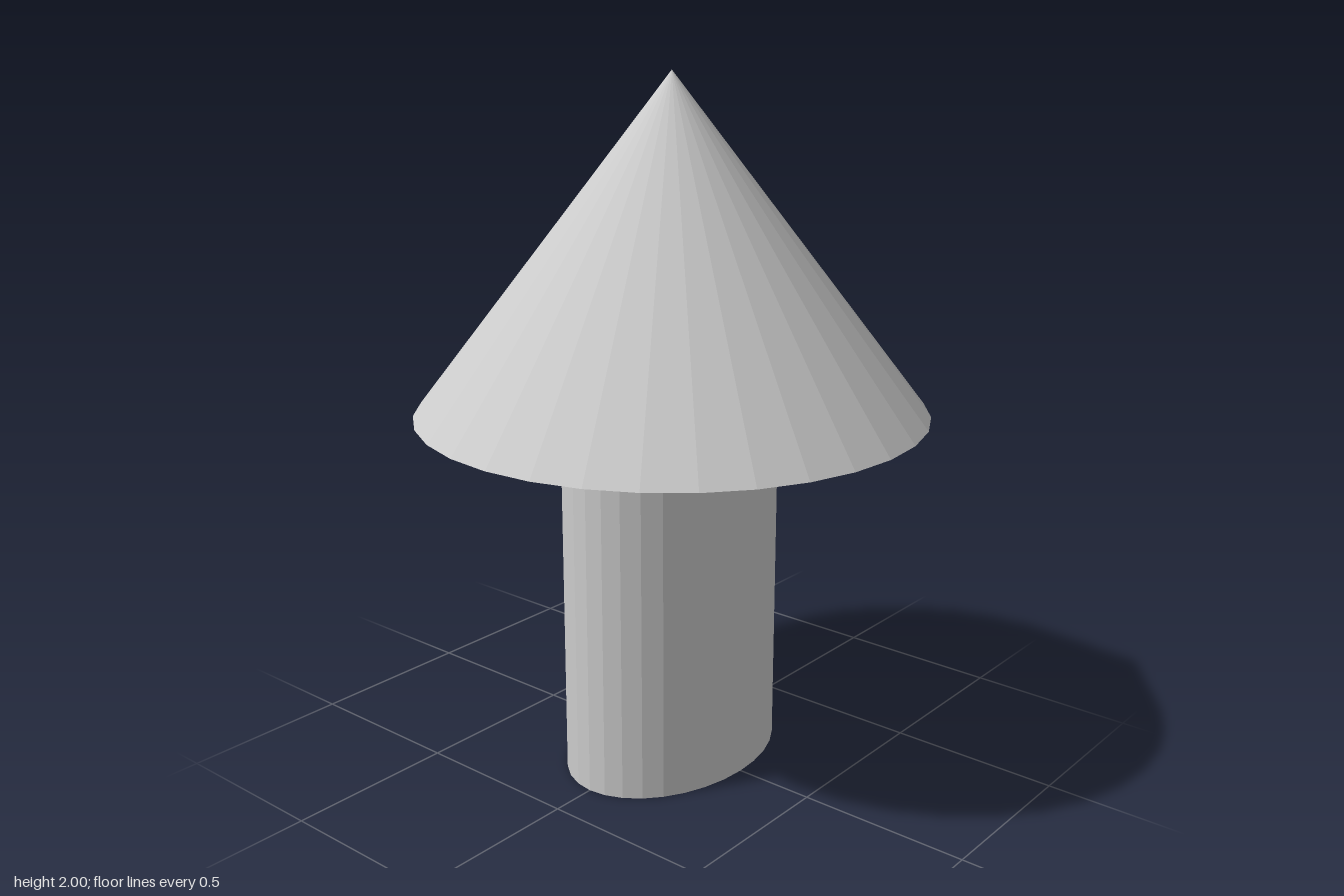
import * as THREE from 'three';

export function createModel() {
  const group = new THREE.Group();
  const material = new THREE.MeshStandardMaterial({ color: 0xcccccc, flatShading: true });
  const sides = 32;
  const stemHeight = 1.055;
  const capHeight = 2 - stemHeight;

  // Oval stem, wider from side to side than from front to back
  const stemGeometry = new THREE.CylinderGeometry(1, 1, stemHeight, sides);
  stemGeometry.scale(0.367, 1, 0.263);
  const stem = new THREE.Mesh(stemGeometry, material);
  stem.name = 'stem';
  stem.position.y = stemHeight / 2;
  group.add(stem);

  // Round pointed cap with a flat underside
  const cap = new THREE.Mesh(new THREE.ConeGeometry(0.73, capHeight, sides), material);
  cap.name = 'cap';
  cap.position.y = stemHeight + capHeight / 2;
  group.add(cap);

  return group;
}
